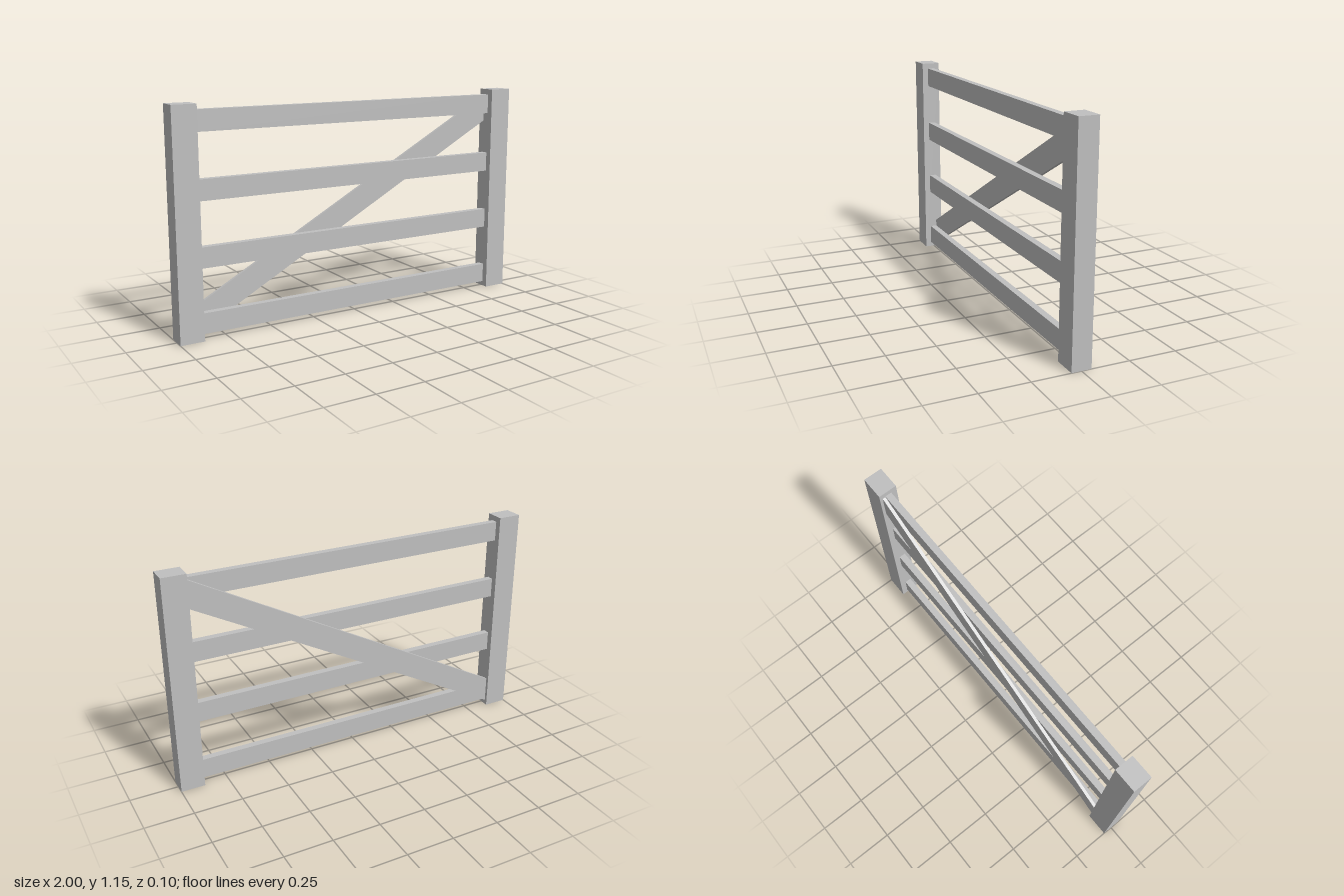
import * as THREE from 'three';

const HEIGHT = 1.15;
const POST_W = 0.125;
const POST_D = 0.102;
const INNER = 1 - POST_W; // x of the inner post faces
const RAIL_H = 0.105;
const RAIL_D = 0.036;
const BRACE_D = 0.017;

export function createModel() {
  const gate = new THREE.Group();
  gate.name = 'gate';
  const grey = new THREE.MeshStandardMaterial({ color: 0xc0c0c0 });
  grey.name = 'light grey';

  const add = (name, geometry, x, y, z) => {
    const mesh = new THREE.Mesh(geometry, grey);
    mesh.name = name;
    mesh.position.set(x, y, z);
    gate.add(mesh);
  };

  // Upright posts
  for (const side of [-1, 1]) {
    add(side > 0 ? 'leftPost' : 'rightPost',
      new THREE.BoxGeometry(POST_W, HEIGHT, POST_D),
      side * (1 - POST_W / 2), HEIGHT / 2, 0);
  }

  // Four evenly spaced rails
  for (let i = 0; i < 4; i++) {
    add(`rail${i + 1}`,
      new THREE.BoxGeometry(INNER * 2, RAIL_H, RAIL_D),
      0, 0.078 + i * 0.33, 0);
  }

  // Diagonal brace on the back of the rails, cut upright against the posts
  const outline = new THREE.Shape([
    new THREE.Vector2(-INNER, 0.025),
    new THREE.Vector2(INNER, 0.97),
    new THREE.Vector2(INNER, 1.115),
    new THREE.Vector2(-INNER, 0.168),
  ]);
  add('diagonalBrace',
    new THREE.ExtrudeGeometry(outline, { depth: BRACE_D, bevelEnabled: false }),
    0, 0, -RAIL_D / 2 - BRACE_D);

  return gate;
}
